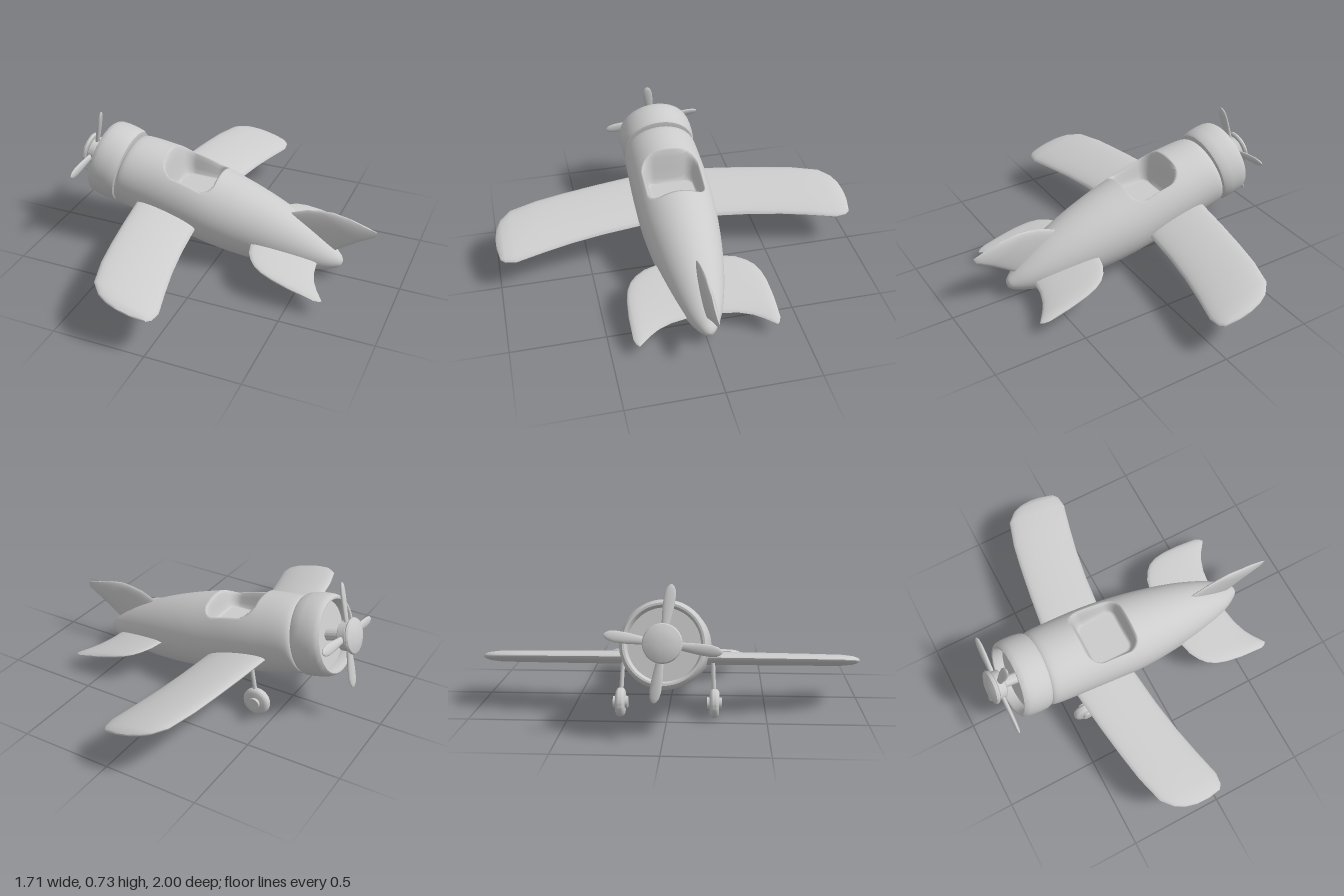
import * as THREE from 'three';
import { toCreasedNormals } from 'three/addons/utils/BufferGeometryUtils.js';

const V = (x, y, z) => new THREE.Vector3(x, y, z);
const TILT = 0.255; // nose-up pitch of the whole aircraft

// Skins elliptical sections {a: leading point, b: trailing point, h: half thickness} along a span.
function loft(stations, normal, sides) {
  const pos = [], index = [], n = stations.length;
  const mid = (s) => s.a.clone().add(s.b).multiplyScalar(0.5);
  for (const s of stations) {
    const c = mid(s), e = s.a.clone().sub(s.b).multiplyScalar(0.5);
    for (let k = 0; k < sides; k++) {
      const t = (k / sides) * Math.PI * 2;
      const p = c.clone().addScaledVector(e, Math.cos(t)).addScaledVector(normal, s.h * Math.sin(t));
      pos.push(p.x, p.y, p.z);
    }
  }
  const first = mid(stations[0]), last = mid(stations[n - 1]);
  pos.push(...first.toArray(), ...last.toArray());
  const middle = stations[n >> 1];
  const outward = middle.a.clone().sub(middle.b).cross(normal).dot(last.clone().sub(first)) > 0;
  const tri = (a, b, c) => (outward ? index.push(a, b, c) : index.push(a, c, b));
  for (let k = 0; k < sides; k++) {
    const m = (k + 1) % sides;
    for (let i = 0; i < n - 1; i++) {
      const r = i * sides, q = r + sides;
      tri(r + k, r + m, q + m);
      tri(r + k, q + m, q + k);
    }
    tri(n * sides, m, k);
    tri(n * sides + 1, (n - 1) * sides + k, (n - 1) * sides + m);
  }
  const g = new THREE.BufferGeometry();
  g.setAttribute('position', new THREE.Float32BufferAttribute(pos, 3));
  g.setIndex(index);
  g.computeVertexNormals();
  return g;
}

// Fuselage: top x, top y, bottom x, bottom y, half width
const BODY = [
  [-0.56, 0.52, -0.62, 0.27, 0.12], [-0.535, 0.555, -0.61, 0.24, 0.16],
  [-0.525, 0.575, -0.61, 0.217, 0.192], [-0.5, 0.587, -0.595, 0.208, 0.205],
  [-0.335, 0.572, -0.42, 0.158, 0.215], [-0.17, 0.54, -0.23, 0.105, 0.218],
  [0, 0.482, -0.03, 0.057, 0.213], [0.16, 0.427, 0.14, 0.028, 0.195],
  [0.33, 0.356, 0.32, 0.012, 0.165], [0.48, 0.275, 0.48, 0.015, 0.125],
  [0.59, 0.197, 0.59, 0.035, 0.083], [0.65, 0.145, 0.65, 0.052, 0.047],
  [0.675, 0.118, 0.675, 0.068, 0.025], [0.684, 0.097, 0.684, 0.089, 0.004],
];

function fuselageGeometry() {
  const top = new THREE.CatmullRomCurve3(BODY.map((s) => V(s[0], s[1], s[4])));
  const bottom = new THREE.CatmullRomCurve3(BODY.map((s) => V(s[2], s[3], s[4])));
  const stations = [], N = 260;
  for (let i = 0; i <= N; i++) {
    const a = top.getPoint(i / N), b = bottom.getPoint(i / N), h = a.z;
    a.z = b.z = 0;
    stations.push({ a, b, h });
  }
  const g = loft(stations, V(0, 0, 1), 128);
  // Sink the cockpit: a rounded rectangle pressed down to a floor
  const p = g.attributes.position, R = 0.075, floor = 0.365;
  for (let i = 0; i < p.count; i++) {
    const y = p.getY(i);
    if (y < floor) continue;
    const dx = Math.abs(p.getX(i) + 0.16) - 0.145 + R, dz = Math.abs(p.getZ(i)) - 0.162 + R;
    const d = Math.hypot(Math.max(dx, 0), Math.max(dz, 0)) + Math.min(Math.max(dx, dz), 0) - R;
    p.setY(i, THREE.MathUtils.lerp(y, floor, THREE.MathUtils.smoothstep(-d, 0, 0.035)));
  }
  g.computeVertexNormals();
  return g;
}

// Wing and tailplane outlines: span z, leading x, trailing x, half thickness
const WING = [
  [0.1, -0.44, -0.09, 0.034], [0.2, -0.43, -0.086, 0.034], [0.42, -0.402, -0.062, 0.033],
  [0.6, -0.375, -0.033, 0.032], [0.75, -0.348, 0, 0.031], [0.9, -0.305, 0.037, 0.029],
  [0.96, -0.25, 0.03, 0.023], [0.985, -0.2, 0.01, 0.015], [0.998, -0.14, -0.06, 0.004],
];
const TAILPLANE = [
  [0.05, 0.22, 0.56, 0.02], [0.18, 0.225, 0.58, 0.02], [0.25, 0.243, 0.605, 0.019],
  [0.3, 0.272, 0.635, 0.018], [0.335, 0.305, 0.662, 0.017], [0.36, 0.35, 0.68, 0.014],
  [0.375, 0.41, 0.665, 0.01], [0.384, 0.5, 0.64, 0.003],
];
function surface(outline, side, x0, y0) {
  const at = (x, z) => V(x, y0 - 0.262 * (x - x0), z * side);
  const stations = outline.map(([z, l, t, h]) => ({ a: at(l, z), b: at(t, z), h }));
  return toCreasedNormals(loft(stations, V(0.25, 0.968, 0), 28), 0.7);
}

// Fin: leading x, y, trailing x, y, half thickness
const FIN = [
  [0.3, 0.28, 0.58, 0.1, 0.016], [0.39, 0.332, 0.645, 0.16, 0.017], [0.47, 0.364, 0.7, 0.198, 0.017],
  [0.54, 0.377, 0.76, 0.237, 0.016], [0.607, 0.381, 0.845, 0.287, 0.014], [0.7, 0.366, 0.855, 0.315, 0.005],
];
const BLADE = [
  [0.04, 0.016, 0.012], [0.1, 0.02, 0.012], [0.17, 0.027, 0.012], [0.225, 0.028, 0.011],
  [0.255, 0.022, 0.009], [0.27, 0.013, 0.006], [0.277, 0.004, 0.002],
];

export function createModel() {
  const model = new THREE.Group();
  model.name = 'airplane';
  const material = new THREE.MeshStandardMaterial({ color: 0xcccccc });
  const add = (parent, name, geometry) => {
    const m = new THREE.Mesh(geometry, material);
    m.name = name;
    parent.add(m);
    return m;
  };
  // Turned part whose profile [radius, forward] runs toward the nose (-x)
  const turned = (profile) => {
    const g = new THREE.LatheGeometry(profile.map(([r, f]) => new THREE.Vector2(r, f)), 64);
    return toCreasedNormals(g.rotateZ(Math.PI / 2), 0.7);
  };

  add(model, 'fuselage', fuselageGeometry());
  add(model, 'fin', toCreasedNormals(
    loft(FIN.map(([ax, ay, bx, by, h]) => ({ a: V(ax, ay, 0), b: V(bx, by, 0), h })), V(0, 0, 1), 24), 0.7));

  // Nose: cowling, hub and propeller share the tilted thrust line
  const nose = new THREE.Group();
  nose.name = 'nose';
  nose.position.set(-0.72, 0.45, 0);
  nose.rotation.z = -TILT;
  model.add(nose);
  add(nose, 'cowling', turned([
    [0, -0.16], [0.185, -0.16], [0.203, -0.155], [0.211, -0.14], [0.214, -0.1], [0.214, -0.06],
    [0.21, -0.025], [0.203, -0.005], [0.194, 0.004], [0.184, 0.003], [0.177, -0.008], [0.174, -0.05], [0, -0.05],
  ]));
  add(nose, 'propellerHub', turned([
    [0.03, -0.06], [0.03, 0.035], [0.068, 0.036], [0.077, 0.043], [0.077, 0.08], [0.07, 0.086],
    [0.088, 0.088], [0.093, 0.096], [0.088, 0.106], [0.06, 0.117], [0.03, 0.122], [0, 0.123],
  ]));
  for (let i = 0; i < 4; i++) {
    const stations = BLADE.map(([r, w, h]) => ({ a: V(0, r, w), b: V(0, r, -w), h }));
    const blade = add(nose, 'propellerBlade', loft(stations, V(1, 0, 0), 20).rotateY(0.2));
    blade.position.x = -0.063;
    blade.rotation.x = 0.14 + (i * Math.PI) / 2;
  }

  for (const side of [1, -1]) {
    const label = side > 0 ? 'left' : 'right';
    add(model, label + 'Wing', surface(WING, side, -0.437, 0.32));
    add(model, label + 'Tailplane', surface(TAILPLANE, side, 0.24, 0.193));

    // Landing gear: rounded wheel, hub cap and leaning strut
    const gear = new THREE.Group();
    gear.name = label + 'LandingGear';
    gear.position.set(-0.405, 0.075, 0.238 * side);
    model.add(gear);
    const tire = [[0, -0.022], [0.055, -0.024], [0.068, -0.018], [0.074, -0.007],
      [0.074, 0.007], [0.068, 0.018], [0.055, 0.024], [0, 0.022]];
    add(gear, 'wheel', turned(tire).rotateY(Math.PI / 2));
    add(gear, 'wheelHub', new THREE.CylinderGeometry(0.03, 0.03, 0.075, 28).rotateX(Math.PI / 2));
    add(gear, 'strut', new THREE.TubeGeometry(
      new THREE.LineCurve3(V(0, 0, 0), V(0.042, 0.2, -0.01 * side)), 1, 0.011, 14));
  }
  return model;
}
